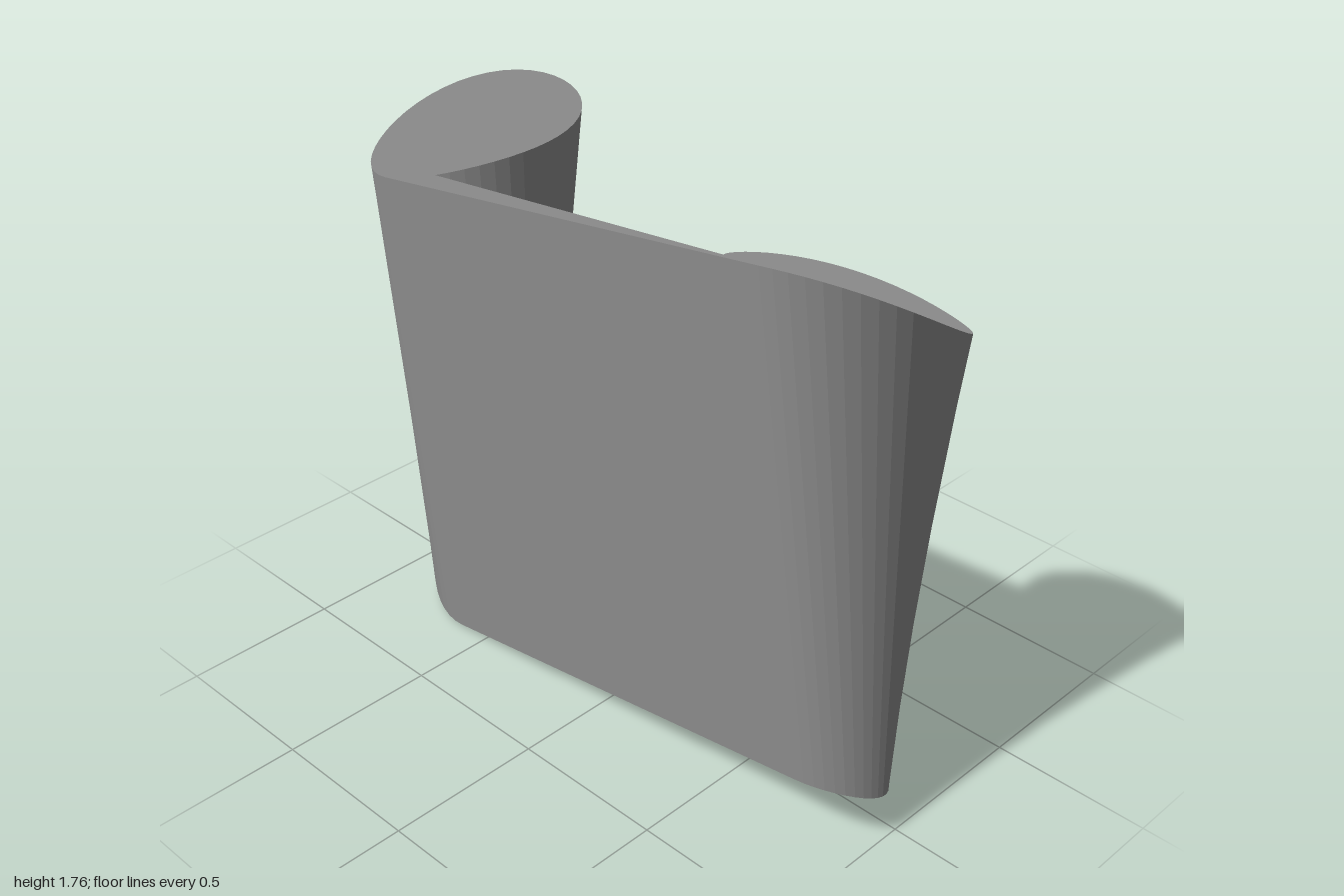
import * as THREE from 'three';

const RADIUS = 0.25;       // column radius
const WALL = 0.05;         // wall thickness
const HEIGHT = 1.524;
const COLUMN_Z = 0.717;    // distance of column axes from the middle
const MID_Y = 0.879;
const TWIST = 0.64;        // radians per unit along x
const LEAN = 0.008;        // small constant tilt

// Plan outline: two round columns joined by a thin wall tangent to both.
function planOutline() {
  const join = Math.acos((RADIUS - WALL) / RADIUS); // where the wall's inner face meets a column
  const shape = new THREE.Shape();
  shape.absarc(0, -COLUMN_Z, RADIUS, Math.PI, 3 * Math.PI - join, false);
  shape.absarc(0, COLUMN_Z, RADIUS, Math.PI + join, 3 * Math.PI, false);
  shape.closePath();
  return shape;
}

// Turn every slice of constant x about the x axis by an angle proportional to x.
// The flat facet normals of the straight body are kept, so the ends shade evenly.
function twist(geometry) {
  const p = geometry.attributes.position;
  for (let i = 0; i < p.count; i++) {
    const x = p.getX(i), y = p.getY(i), z = p.getZ(i);
    const a = -TWIST * x - LEAN;
    p.setY(i, y * Math.cos(a) + z * Math.sin(a));
    p.setZ(i, z * Math.cos(a) - y * Math.sin(a));
  }
  return geometry;
}

export function createModel() {
  const group = new THREE.Group();
  group.name = 'twistedColumnPair';

  // Columns and wall as one upright extrusion, then twisted
  const body = new THREE.ExtrudeGeometry(planOutline(), {
    depth: HEIGHT, bevelEnabled: false, curveSegments: 20,
  });
  body.translate(0, 0, -HEIGHT / 2).rotateX(-Math.PI / 2);

  const mesh = new THREE.Mesh(twist(body), new THREE.MeshStandardMaterial({ color: 0x8b8b8b }));
  mesh.name = 'columnsAndWall';
  mesh.position.y = MID_Y;
  group.add(mesh);
  return group;
}
